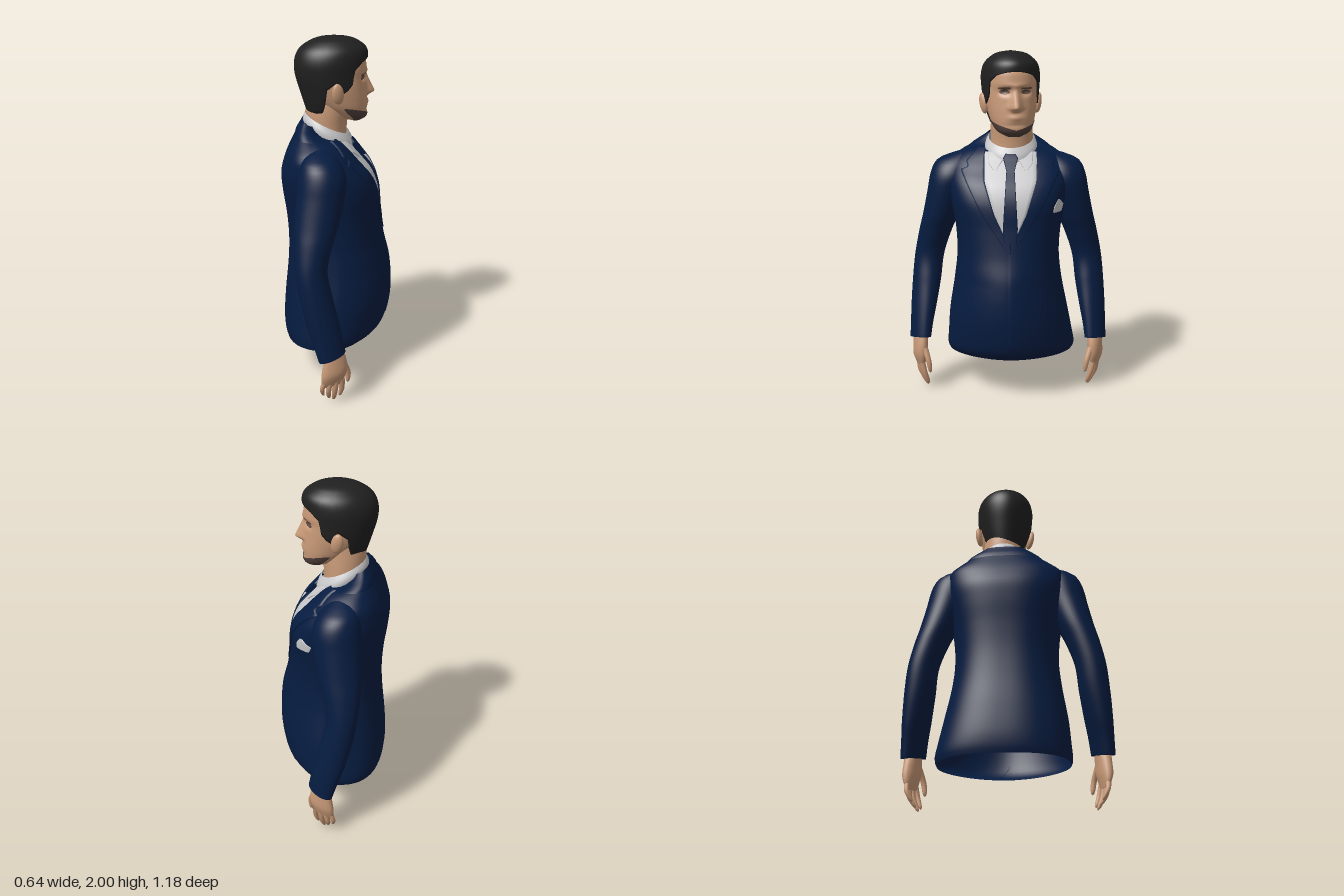
import * as THREE from 'three';

const mat = (name, color) => {
  const m = new THREE.MeshStandardMaterial({ color, side: THREE.DoubleSide });
  m.name = name;
  return m;
};

// Smooth interpolation of a table whose first column is height
function at(T, y) {
  const n = T.length;
  let i = 0;
  while (i < n - 2 && y > T[i + 1][0]) i++;
  const a = T[i], b = T[i + 1], p = T[Math.max(i - 1, 0)], q = T[Math.min(i + 2, n - 1)];
  const h = b[0] - a[0], t = THREE.MathUtils.clamp((y - a[0]) / h, 0, 1);
  const t2 = t * t, t3 = t2 * t;
  return a.slice(1).map((va, k) => {
    const vb = b[k + 1];
    const ma = (vb - p[k + 1]) / (b[0] - p[0]), mb = (q[k + 1] - va) / (q[0] - a[0]);
    return va * (2 * t3 - 3 * t2 + 1) + h * ma * (t3 - 2 * t2 + t) + vb * (3 * t2 - 2 * t3) + h * mb * (t3 - t2);
  });
}
function linear(T, x) {
  let i = 0;
  while (i < T.length - 2 && x > T[i + 1][0]) i++;
  return THREE.MathUtils.mapLinear(THREE.MathUtils.clamp(x, T[i][0], T[i + 1][0]), T[i][0], T[i + 1][0], T[i][1], T[i + 1][1]);
}

// Grid surface from f(u, v); closed wraps round in u
function sheet(f, nu, nv, closed) {
  const pos = [], idx = [], cols = closed ? nu : nu + 1;
  for (let j = 0; j <= nv; j++) for (let i = 0; i < cols; i++) pos.push(...f(i / nu, j / nv));
  for (let j = 0; j < nv; j++) for (let i = 0; i < nu; i++) {
    const a = j * cols + i, b = j * cols + (i + 1) % cols;
    idx.push(a, a + cols, b, b, a + cols, b + cols);
  }
  const g = new THREE.BufferGeometry();
  g.setAttribute('position', new THREE.Float32BufferAttribute(pos, 3));
  g.setIndex(idx);
  g.computeVertexNormals();
  return g;
}

// Superellipse ring between x and z limits
const sp = (v, e) => Math.sign(v) * Math.abs(v) ** e;
function ring([x0, x1, z0, z1], y, u, k = 1, e = 1, s = 1) {
  const t = u * Math.PI * 2;
  return [(x0 + x1) / 2 + k * (x1 - x0) / 2 * sp(Math.cos(t), e), y,
    s * (z0 + z1) / 2 + k * (z1 - z0) / 2 * sp(Math.sin(t), e)];
}
// Loft through a table of rings with both ends closed; twist swings the front of each ring inward and up
function loft(T, nu, nv, e = 1, s = 1, twist = () => 0) {
  const y0 = T[0][0], y1 = T[T.length - 1][0];
  return sheet((u, v) => {
    const j = Math.round(v * nv), k = j === 0 || j === nv ? 0 : j === 1 || j === nv - 1 ? 0.985 : 1;
    const y = y0 + (y1 - y0) * THREE.MathUtils.clamp((j - 2) / (nv - 4), 0, 1);
    const row = at(T, y), p = ring(row, y, u, k, e, s), d = twist(y) * (p[0] - (row[0] + row[1]) / 2);
    p[1] += .6 * d;
    p[2] -= s * d;
    return p;
  }, nu, nv, true);
}

// Jacket body rings: y, back x, front x, right z, left z
const TORSO = [
  [.235, -.305, .215, -.385, .35], [.27, -.315, .262, -.398, .36], [.35, -.32, .295, -.385, .355],
  [.5, -.31, .315, -.355, .343], [.7, -.29, .303, -.315, .312], [.85, -.285, .266, -.3, .297],
  [1, -.295, .243, -.31, .305], [1.15, -.315, .227, -.335, .33], [1.25, -.32, .188, -.35, .345],
  [1.33, -.3, .122, -.35, .345], [1.38, -.28, .08, -.34, .335], [1.43, -.255, .035, -.28, .27],
  [1.48, -.23, -.04, -.205, .19], [1.525, -.205, -.11, -.14, .125]];
const SLEEVE = [
  [.305, -.075, .07, .468, .584], [.4, -.105, .052, .453, .583], [.5, -.14, .03, .432, .582],
  [.65, -.18, -.005, .405, .575], [.8, -.205, -.03, .385, .56], [.95, -.215, 0, .335, .53],
  [1.05, -.215, .03, .29, .505], [1.2, -.205, .06, .23, .473], [1.28, -.2, .065, .2, .458],
  [1.34, -.19, .045, .19, .437], [1.38, -.175, .015, .18, .405], [1.405, -.155, -.015, .18, .345], [1.43, -.12, -.05, .18, .265]];
const PALM = [
  [.12, -.045, .045, .508, .54], [.15, -.06, .064, .502, .553], [.2, -.062, .08, .49, .568],
  [.26, -.053, .078, .485, .568], [.34, -.035, .055, .48, .565]];
// Head rings, x measured from the neck axis
const HEAD = [
  [1.525, .08, .155, -.035, .035], [1.55, .03, .188, -.085, .085], [1.6, -.06, .195, -.117, .117],
  [1.66, -.12, .193, -.135, .135], [1.72, -.15, .186, -.145, .145], [1.78, -.17, .183, -.148, .148],
  [1.84, -.18, .188, -.148, .148], [1.9, -.17, .17, -.14, .14], [1.96, -.1, .1, -.08, .08]];
const HAIR = [
  [1.56, -.14, .1, -.105, .105], [1.62, -.16, .15, -.13, .13], [1.7, -.185, .19, -.153, .153],
  [1.8, -.212, .193, -.165, .165], [1.87, -.212, .196, -.167, .167], [1.93, -.185, .19, -.15, .15],
  [1.97, -.13, .145, -.11, .11], [1.99, -.075, .09, -.068, .068], [2, 0, 0, 0, 0]];
// Lower hair edge by direction: -1 is the nape, 1 the forehead
const HAIRLINE = [[-1, 1.57], [-.4, 1.59], [-.28, 1.72], [.08, 1.77], [.2, 1.7], [.36, 1.72], [.52, 1.755], [.57, 1.825], [.78, 1.865], [1, 1.885]];

// The jacket is square across the back and wedge-shaped over the front, flatter at the chest
const backPower = 2.5;
const frontPower = y => linear([[.7, 1.75], [1.15, 2.7], [1.3, 2.7], [1.45, 2.1]], y);
function torsoRing(y, u, k = 1) {
  const [x0, x1, z0, z1] = at(TORSO, y), t = u * Math.PI * 2, c = Math.cos(t), w = sp(Math.sin(t), .9);
  const n = c > 0 ? frontPower(y) : backPower;
  const x = (x0 + x1) / 2 + k * Math.sign(c) * (x1 - x0) / 2 * Math.max(0, 1 - Math.abs(w) ** n) ** (1 / n);
  // The neckline dips towards the front
  const dip = .45 * Math.max(0, x + .19) * THREE.MathUtils.smoothstep(y, 1.43, 1.525);
  return [x, y - dip, (z0 + z1) / 2 + k * w * (z1 - z0) / 2];
}
const chestX = (y, z) => {
  const [x0, x1, z0, z1] = at(TORSO, y), w = Math.min(1, Math.abs((z - (z0 + z1) / 2) / ((z1 - z0) / 2))), n = frontPower(y);
  return (x0 + x1) / 2 + (x1 - x0) / 2 * (1 - w ** n) ** (1 / n);
};
const bump = (a, b) => Math.exp(-a * a - b * b);
// Facial relief: nose, eye sockets, brow, lips and chin
function relief(y, z) {
  const nose = linear([[1.66, 0], [1.685, 1], [1.70, .95], [1.79, .15], [1.82, 0]], y);
  return .047 * nose * Math.exp(-((z / (.018 + .012 * nose)) ** 2))
    - .02 * bump((Math.abs(z) - .058) / .03, (y - 1.775) / .02)
    + .007 * bump(z / .08, (y - 1.81) / .015)
    + .008 * bump(z / .04, (y - 1.632) / .016) - .004 * bump(z / .05, (y - 1.59) / .012);
}
function headPoint(y, u, k = 1, out = 0) {
  const p = ring(at(HEAD, y), y, u, k, .92);
  const c = Math.cos(u * Math.PI * 2), s = Math.sin(u * Math.PI * 2);
  if (c > 0 && k === 1) p[0] += relief(y, p[2]);
  return [p[0] + out * c, y, p[2] + out * s];
}
const faceX = (y, z) => {
  const [x0, x1, , h] = at(HEAD, y);
  return (x0 + x1) / 2 + (x1 - x0) / 2 * (1 - Math.min(1, Math.abs(z / h)) ** 2.17) ** .46 + relief(y, z);
};
// Plate lying on a surface, with rims tucked under
function plate(surf, y0, y1, zLow, zHigh, off, tuck = .015, nu = 14, nv = 24) {
  return sheet((u, v) => {
    const y = y0 + (y1 - y0) * v, i = Math.round(u * nu);
    const w = THREE.MathUtils.clamp((i - 1) / (nu - 2), 0, 1);
    const z = THREE.MathUtils.lerp(zLow(y), zHigh(y), w);
    return [surf(y, z) + off - (i === 0 || i === nu ? tuck : 0), y, z];
  }, nu, nv, false);
}

export function createModel() {
  const root = new THREE.Group();
  const navy = mat('navy cloth', 0x061c40), skin = mat('skin', 0xc99a78), black = mat('black hair', 0x202020);
  const white = mat('shirt cloth', 0xcbcbcd), beardMat = mat('beard brown', 0x51403b), eyeMat = mat('eye brown', 0x624c41);
  const add = (name, geo, m, parent = root) => {
    const mesh = new THREE.Mesh(geo, m);
    mesh.name = name;
    parent.add(mesh);
    return mesh;
  };

  // Jacket, open at the hem
  add('jacketBody', sheet((u, v) => {
    const j = Math.round(v * 60);
    return torsoRing(.235 + 1.29 * Math.min(1, j / 59), u, j === 60 ? 0 : 1);
  }, 80, 60, true), navy);
  add('jacketCollar', sheet((u, v) => {
    const y = 1.455 + .082 * v, k = [1, 1.06, 1.07, 1.06, .95][Math.round(v * 4)];
    const p = torsoRing(Math.min(y, 1.525), u, k);
    p[1] += Math.max(0, y - 1.525);
    return p;
  }, 60, 4, true), navy);
  add('frontOverlap', plate(chestX, .25, .9, () => -.24, y => -.005 - .05 * Math.max(0, (.33 - y) / .08), .004, .01), navy);

  // Shirt front, lapels, tie, all centred on a shared line
  const C = -.016;
  const opening = y => linear([[.96, .025], [1.1, .09], [1.28, .146], [1.4, .15], [1.5, .14]], y);
  const lapelEdge = y => linear([[.88, .012], [1.1, .16], [1.335, .285], [1.352, .24], [1.38, .255], [1.45, .19]], y);
  add('shirtFront', plate(chestX, .96, 1.43, y => C - opening(y), y => C + opening(y), .004), white);
  for (const s of [1, -1]) {
    const side = s > 0 ? 'left' : 'right';
    const inner = y => C + s * (y < .96 ? 0 : opening(y)), outer = y => C + s * lapelEdge(y);
    add(side + 'Lapel', s > 0 ? plate(chestX, .88, 1.45, inner, outer, .009, .014, 12, 50)
      : plate(chestX, .88, 1.45, outer, inner, .009, .014, 12, 50), navy);
    // Pointed shirt collar wing
    const wa = y => C + s * linear([[1.33, .085], [1.43, .015]], y), wb = y => C + s * linear([[1.33, .09], [1.37, .125], [1.43, .13]], y);
    add(side + 'ShirtCollarWing', s > 0 ? plate(chestX, 1.33, 1.43, wa, wb, .012, .01) : plate(chestX, 1.33, 1.43, wb, wa, .012, .01), white);
  }
  const tie = y => linear([[.95, .036], [1.02, .042], [1.34, .023]], y);
  add('tieBlade', plate(chestX, .94, 1.35, y => C - tie(y), y => C + tie(y), .01, .01), navy);
  const knot = y => linear([[1.33, .022], [1.4, .042], [1.43, .026]], y);
  add('tieKnot', plate(chestX, 1.33, 1.43, y => C - knot(y), y => C + knot(y), .036, .033), navy);
  add('pocketSquare', plate(chestX, 1.1, 1.175, y => linear([[1.1, -.308], [1.14, -.32], [1.175, -.294]], y),
    y => linear([[1.1, -.258], [1.13, -.262], [1.175, -.286]], y), .007, .006), white);

  // Neck and sloping shirt collar
  add('neck', loft([[1.38, -.175, .05, -.145, .105], [1.5, -.18, .05, -.145, .1], [1.58, -.185, .06, -.14, .1], [1.68, -.18, .07, -.13, .09]], 40, 16), skin);
  add('shirtCollar', sheet((u, v) => {
    const a = [.14, .146, .138, .124][Math.round(v * 3)], t = u * Math.PI * 2;
    const x = a * Math.cos(t);
    return [-.05 - .012 * v + x, 1.435 + .078 * v - .47 * x, -.018 + (a + .006) * Math.sin(t)];
  }, 48, 3, true), white);

  // Head, turned slightly to its right
  const head = new THREE.Group();
  head.name = 'head';
  head.position.set(-.03, 0, -.015);
  head.rotation.y = .17;
  root.add(head);
  add('face', sheet((u, v) => {
    const j = Math.round(v * 80);
    return headPoint(1.525 + .435 * v, u, j === 0 || j === 80 ? 0 : 1);
  }, 144, 80, true), skin, head);
  add('hair', sheet((u, v) => {
    const j = Math.round(v * 30), h = linear(HAIRLINE, Math.cos(u * Math.PI * 2));
    const y = h + (2 - h) * Math.sin(Math.max(0, j - 1) / 29 * Math.PI / 2);
    return ring(at(HAIR, y), y, u, j === 0 ? .87 : 1);
  }, 120, 30, true), black, head);
  add('beard', sheet((u, v) => {
    const a = (u - .5) * .52, j = Math.round(v * 10);
    const top = 1.563 + .05 * Math.min(1, Math.abs(u - .5) * 2.2);
    const y = 1.524 + (top - 1.524) * Math.max(0, (j - 1) / 9);
    return j === 0 ? [.1, 1.523, 0] : headPoint(y, a, 1, .004);
  }, 36, 10, false), beardMat, head);
  for (const s of [1, -1]) {
    const side = s > 0 ? 'left' : 'right';
    const ear = add(side + 'Ear', new THREE.SphereGeometry(1, 20, 14), skin, head);
    ear.scale.set(.034, .06, .021);
    ear.position.set(.012, 1.705, s * .157);
    ear.rotation.set(s * .12, s * .3, .15);
    const eye = d => y => s * .06 + d * .028 * Math.sqrt(Math.max(0, 1 - ((y - 1.775) / .014) ** 2));
    add(side + 'Eye', plate(faceX, 1.761, 1.789, eye(-1), eye(1), .003, .003, 10, 10), eyeMat, head);
    add(side + 'Eyebrow', plate(faceX, 1.79, 1.8, () => s * .062 - .032, () => s * .062 + .032, .003, .003, 10, 4), eyeMat, head);
  }

  // Sleeves and hands
  const FINGERS = [
    [.016, [-.04, .16, .545], [-.058, .1, .54], [-.054, .04, .51]],
    [.018, [-.012, .16, .538], [-.024, .08, .53], [-.022, .016, .495]],
    [.019, [.019, .16, .528], [.012, .08, .516], [.002, 0, .483]],
    [.018, [.05, .16, .514], [.05, .09, .497], [.036, .022, .475]],
    [.019, [.058, .26, .497], [.083, .18, .472], [.082, .105, .462]]];
  const armTwist = y => linear([[.3, .42], [.7, .12], [1, 0]], y);
  for (const s of [1, -1]) {
    const arm = new THREE.Group();
    arm.name = s > 0 ? 'leftArm' : 'rightArm';
    root.add(arm);
    add('sleeve', loft(SLEEVE, 40, 60, 1, s, armTwist), navy, arm);
    const hand = new THREE.Group();
    hand.name = 'hand';
    hand.position.x = s > 0 ? 0 : -.02;
    arm.add(hand);
    add('palm', loft(PALM, 28, 18, .95, s, () => .3), skin, hand);
    FINGERS.forEach(([r, ...pts], i) => {
      const curve = new THREE.CatmullRomCurve3(pts.map(p => new THREE.Vector3(p[0], p[1], s * p[2])));
      add(i < 4 ? 'finger' : 'thumb', sheet((u, v) => {
        const t = 1 - v, p = curve.getPoint(t), k = r * (1 - .3 * t) * Math.sqrt(1 - t ** 8), a = u * Math.PI * 2;
        return [p.x + k * Math.cos(a), p.y, p.z + k * Math.sin(a)];
      }, 12, 16, true), skin, hand);
    });
  }
  return root;
}
